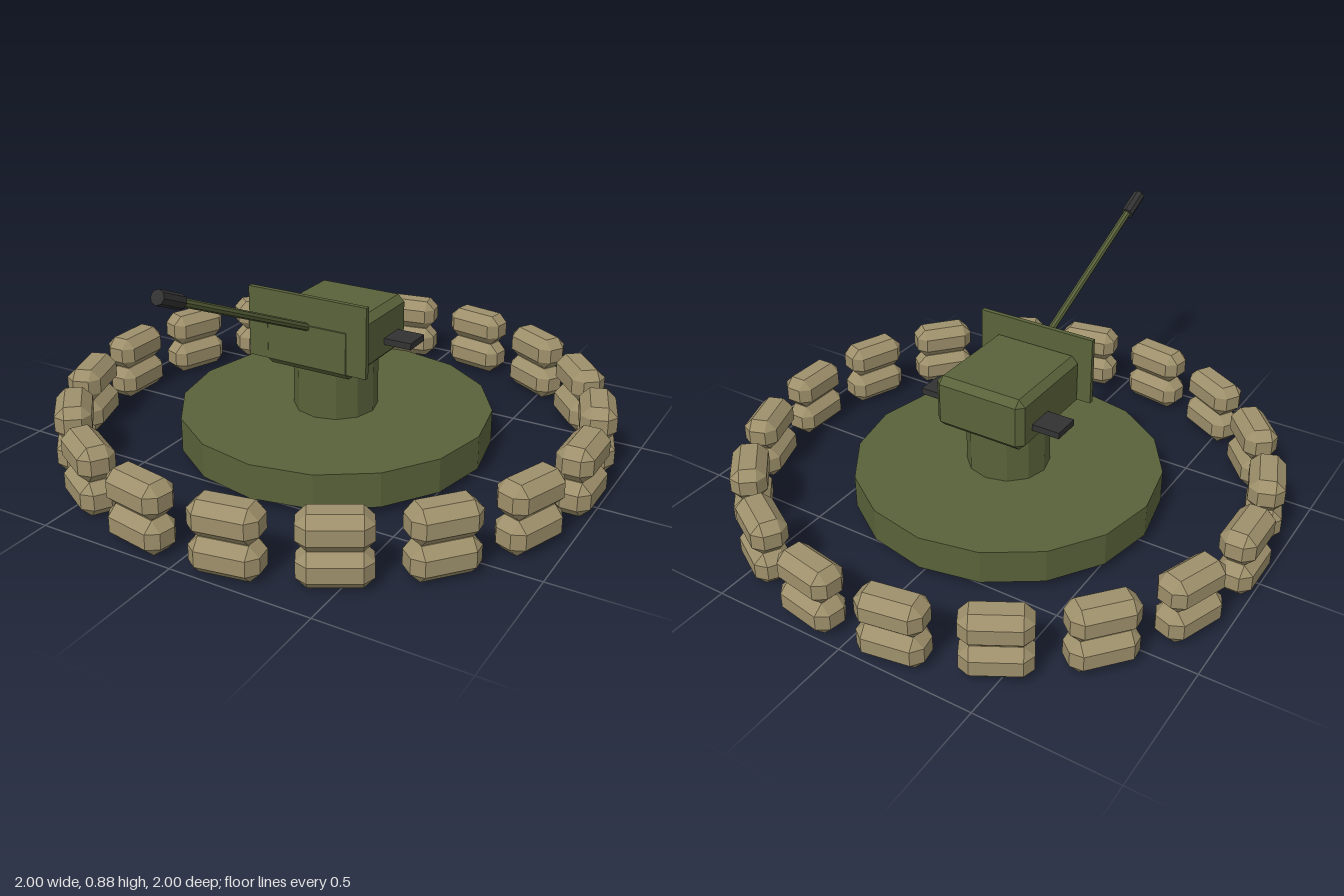
import * as THREE from 'three';
import { ConvexGeometry } from 'three/addons/geometries/ConvexGeometry.js';

const paint = (name, color) => {
  const m = new THREE.MeshStandardMaterial({ color, flatShading: true });
  m.name = name;
  return m;
};

// Box with every edge and corner cut flat
function chamferBox(w, h, d, c) {
  const pts = [];
  for (const x of [-w / 2, w / 2]) for (const y of [-h / 2, h / 2]) for (const z of [-d / 2, d / 2]) {
    const cx = x - Math.sign(x) * c, cy = y - Math.sign(y) * c, cz = z - Math.sign(z) * c;
    pts.push(new THREE.Vector3(x, cy, cz), new THREE.Vector3(cx, y, cz), new THREE.Vector3(cx, cy, z));
  }
  return new ConvexGeometry(pts);
}

export function createModel() {
  const model = new THREE.Group();
  model.name = 'gunEmplacement';
  const green = paint('olive green', 0x59623a);
  const dark = paint('dark metal', 0x323232);
  const canvas = paint('sand canvas', 0x9e906b);

  const add = (parent, name, geometry, material, x, y, z) => {
    const mesh = new THREE.Mesh(geometry, material);
    mesh.name = name;
    mesh.position.set(x, y, z);
    parent.add(mesh);
    return mesh;
  };

  // Platform and pedestal
  add(model, 'platform', new THREE.CylinderGeometry(0.568, 0.568, 0.125, 16), green, 0, 0.0925, 0);
  add(model, 'pedestal', new THREE.CylinderGeometry(0.153, 0.153, 0.22, 12), green, 0, 0.255, 0);

  // Housing, shield and side seats
  add(model, 'housing', chamferBox(0.36, 0.2, 0.41, 0.025), green, 0, 0.445, 0);
  add(model, 'shield', new THREE.BoxGeometry(0.466, 0.256, 0.018), green, 0, 0.497, 0.194);
  for (const s of [1, -1]) {
    add(model, s > 0 ? 'leftSeat' : 'rightSeat', new THREE.BoxGeometry(0.125, 0.024, 0.105), dark, s * 0.2225, 0.418, -0.08);
  }

  // Raised gun: local +z runs along the barrel
  const gun = new THREE.Group();
  gun.name = 'gun';
  gun.position.set(0, 0.512, 0.195);
  gun.rotation.x = -THREE.MathUtils.degToRad(24);
  model.add(gun);
  const tube = (r, from, to) => new THREE.CylinderGeometry(r, r, to - from, 8)
    .rotateX(Math.PI / 2).translate(0, 0, (from + to) / 2);
  add(gun, 'barrel', tube(0.014, -0.1, 0.8), green, 0, 0, 0);
  add(gun, 'muzzle', tube(0.024, 0.75, 0.86), dark, 0, 0, 0);

  // Ring of sandbags, two layers high
  const bag = chamferBox(0.128, 0.122, 0.235, 0.034);
  const wall = new THREE.Group();
  wall.name = 'sandbagWall';
  model.add(wall);
  for (let layer = 0; layer < 2; layer++) {
    for (let i = 0; i < 18; i++) {
      const a = (i / 18) * Math.PI * 2;
      const mesh = add(wall, 'sandbag', bag, canvas, 0.936 * Math.cos(a), 0.061 + layer * 0.124, 0.936 * Math.sin(a));
      mesh.rotation.y = -a;
    }
  }
  return model;
}
